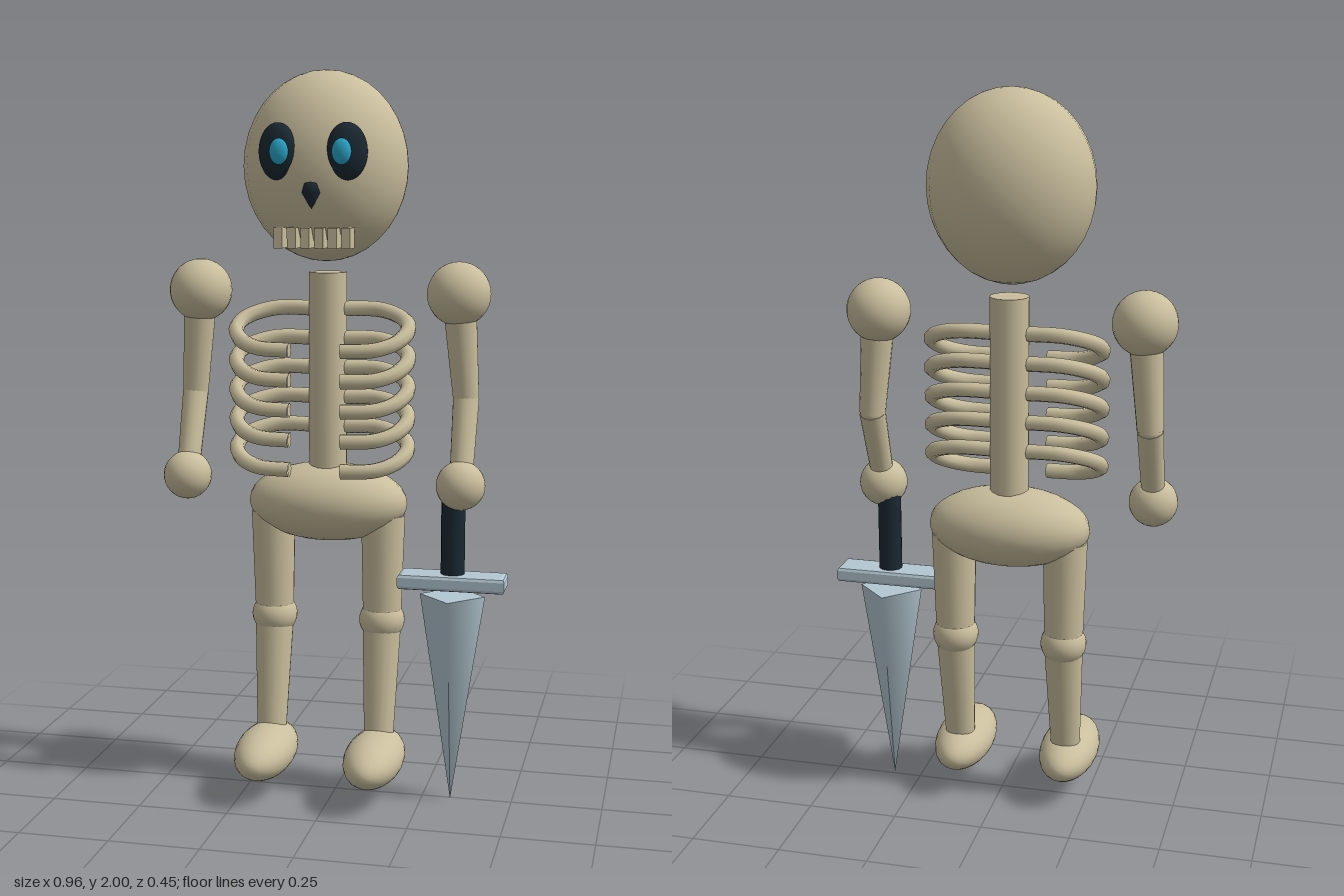
import * as THREE from 'three';

const V = (x, y, z) => new THREE.Vector3(x, y, z);
const mat = (name, color) => Object.assign(new THREE.MeshStandardMaterial({ color }), { name });

export function createModel() {
  const bone = mat('bone', 0xc9be9d);
  const dark = mat('dark', 0x1b2832);
  const glow = mat('glow', 0x2aa9cc);
  const steel = mat('steel', 0xb4c8d2);

  const model = new THREE.Group();
  model.name = 'skeleton';
  const body = new THREE.Group();
  body.name = 'body';
  body.position.x = -0.0325;
  model.add(body);

  const add = (name, geo, material, pos, parent = body) => {
    const mesh = new THREE.Mesh(geo, material);
    mesh.name = name;
    mesh.position.copy(pos);
    parent.add(mesh);
    return mesh;
  };
  const ball = (name, material, pos, rx, ry = rx, rz = rx) =>
    add(name, new THREE.SphereGeometry(1, 24, 18).scale(rx, ry, rz), material, pos);
  // Tapered cylinder running from point a to point b
  const limb = (name, a, b, ra, rb) => {
    const dir = b.clone().sub(a);
    const mesh = add(name, new THREE.CylinderGeometry(rb, ra, dir.length(), 16), bone,
      a.clone().add(b).multiplyScalar(0.5));
    mesh.quaternion.setFromUnitVectors(V(0, 1, 0), dir.normalize());
    return mesh;
  };

  // Skull, nose hole and teeth
  ball('skull', bone, V(0, 1.745, -0.03), 0.225, 0.255, 0.19);
  const noseProfile = [[0, -0.042], [0.027, 0], [0.022, 0.024], [0, 0.036]]
    .map(([r, y]) => new THREE.Vector2(r, y));
  add('nose', new THREE.LatheGeometry(noseProfile, 8).scale(1, 1, 0.8), dark, V(0, 1.677, 0.145));
  for (let i = 0; i < 6; i++) {
    add('tooth', new THREE.BoxGeometry(0.024, 0.054, 0.054), bone, V((i - 2.5) * 0.0365, 1.559, 0.117));
  }

  // Spine and pelvis
  limb('spine', V(0, 0.84, -0.05), V(0, 1.46, -0.05), 0.053, 0.053);
  ball('pelvis', bone, V(0, 0.822, -0.05), 0.225, 0.11, 0.13);

  for (const s of [-1, 1]) {
    // Eye socket with glowing pupil
    ball('eyeSocket', dark, V(s * 0.0925, 1.783, 0.134), 0.054, 0.075, 0.028).rotation.y = s * 0.2;
    ball('eyeGlow', glow, V(s * 0.083, 1.783, 0.154), 0.027, 0.036, 0.017);

    // Ribs sweep from the spine round to the open front, sloping down
    const path = [[0.02, -0.05], [0.15, -0.048], [0.222, -0.01], [0.238, 0.03],
      [0.215, 0.075], [0.16, 0.105], [0.07, 0.112]];
    for (let i = 0; i < 5; i++) {
      const curve = new THREE.CatmullRomCurve3(
        path.map(([x, z]) => V(s * x, 1.36 - i * 0.081 - (z + 0.05) * 0.62, z)));
      const end = curve.getPoint(1);
      add('rib', new THREE.TubeGeometry(curve, 28, 0.021, 8), bone, V(0, 0, 0));
      const cap = add('ribEnd', new THREE.CircleGeometry(0.021, 8), bone, end);
      cap.rotation.y = -s * Math.PI / 2;
    }

    // Arm
    const shoulder = V(s * 0.3625, 1.405, -0.05);
    const elbow = V(s * 0.384, 1.12, -0.058);
    const hand = V(s * 0.384, 0.895, 0.028);
    ball('shoulder', bone, shoulder, 0.087);
    limb('upperArm', shoulder, elbow, 0.047, 0.036);
    ball('elbow', bone, elbow, 0.034);
    limb('forearm', elbow, hand, 0.036, 0.031);
    ball('hand', bone, hand, 0.067);

    // Leg
    const knee = V(s * 0.155, 0.49, -0.05);
    limb('thigh', V(s * 0.157, 0.79, -0.05), knee, 0.062, 0.054);
    ball('knee', bone, knee, 0.064, 0.06, 0.064);
    limb('shin', knee, V(s * 0.155, 0.12, -0.002), 0.055, 0.04);
    ball('foot', bone, V(s * 0.155, 0.12, 0.055), 0.082, 0.07, 0.174);
  }

  // Sword held point down in the left hand
  const sword = new THREE.Group();
  sword.name = 'sword';
  sword.position.set(0.33, 0, 0.01);
  model.add(sword);
  add('grip', new THREE.CylinderGeometry(0.033, 0.033, 0.27, 12), dark, V(0, 0.765, 0), sword);
  const w = 0.135, d = 0.033;
  const outline = new THREE.Shape([[-w, -d], [w, -d], [w, d], [-w, d]].map(([x, y]) => new THREE.Vector2(x, y)));
  const guard = new THREE.ExtrudeGeometry(outline,
    { depth: 0.024, bevelEnabled: true, bevelSize: 0.012, bevelThickness: 0.01, bevelSegments: 2 });
  add('guard', guard.translate(0, 0, -0.012).rotateX(Math.PI / 2), steel, V(0, 0.625, 0), sword);
  add('blade', new THREE.ConeGeometry(0.09, 0.585, 4).rotateX(Math.PI), steel, V(0, 0.2925, 0), sword);

  return model;
}
